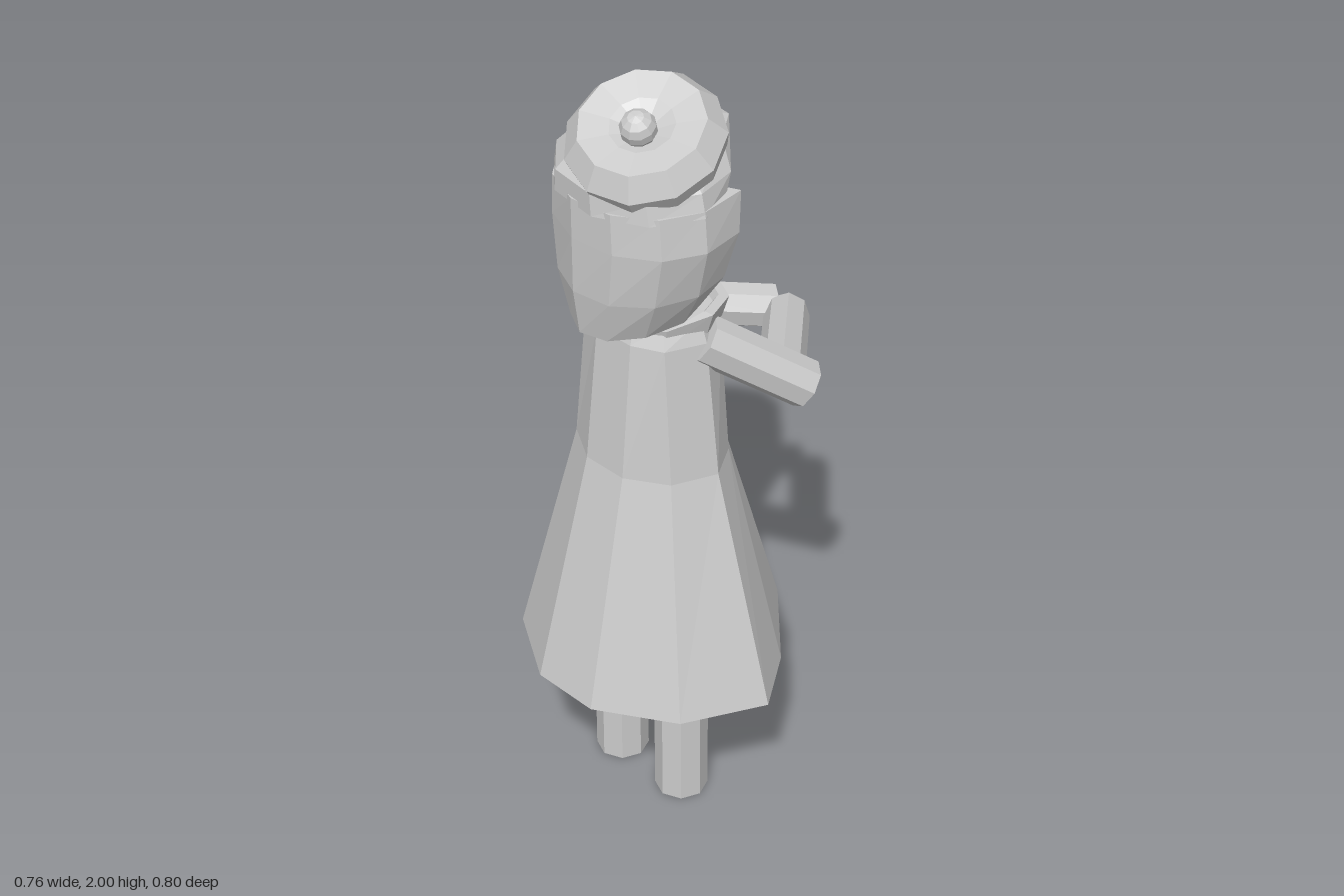
import * as THREE from 'three';

const { sin, cos, PI } = Math;

// Skins rings of [x, y, z] points from bottom to top and closes both ends with strips
function loft(rings) {
  const n = rings[0].length, last = (rings.length - 1) * n, index = [];
  const quad = (a, b, c, d) => index.push(a, b, c, a, c, d);
  for (let r = 0; r < rings.length - 1; r++)
    for (let i = 0; i < n; i++) {
      const j = (i + 1) % n;
      quad(r * n + i, r * n + j, (r + 1) * n + j, (r + 1) * n + i);
    }
  for (let j = 0; j < n / 2 - 1; j++) {
    quad(n - 1 - j, n - 2 - j, j + 1, j);
    quad(last + j, last + j + 1, last + n - 2 - j, last + n - 1 - j);
  }
  const geo = new THREE.BufferGeometry();
  geo.setAttribute('position', new THREE.Float32BufferAttribute(rings.flat(2), 3));
  geo.setIndex(index);
  geo.computeVertexNormals();
  return geo;
}

// Mirrors half a ring of [x, z] points, given from +z round to -z, at height y
function mirrorRing(y, half) {
  const right = half.map(([x, z]) => [x, y, z]);
  const left = half.map(([x, z]) => [-x, y, z]).reverse();
  return [...right, ...left];
}

export function createModel() {
  const model = new THREE.Group();
  const mat = new THREE.MeshStandardMaterial({ color: 0xcccccc, flatShading: true });
  const add = (name, geo, parent = model) => {
    const mesh = new THREE.Mesh(geo, mat);
    mesh.name = name;
    parent.add(mesh);
    return mesh;
  };
  const up = new THREE.Vector3(0, 1, 0);

  // Straight limb between two points
  const limb = (name, from, to, radius) => {
    const a = new THREE.Vector3(...from), b = new THREE.Vector3(...to);
    const dir = b.clone().sub(a);
    const mesh = add(name, new THREE.CylinderGeometry(radius, radius, dir.length(), 8));
    mesh.position.copy(a).add(b).multiplyScalar(0.5);
    mesh.quaternion.setFromUnitVectors(up, dir.normalize());
  };

  // Dress with a flared skirt
  add('dress', loft([
    mirrorRing(0.43, [[0.09, 0.395], [0.28, 0.28], [0.38, 0.08], [0.28, -0.07], [0.09, -0.257]]),
    mirrorRing(1.03, [[0.06, 0.25], [0.16, 0.19], [0.205, 0.08], [0.15, -0.01], [0.05, -0.085]]),
    mirrorRing(1.38, [[0.055, 0.215], [0.13, 0.18], [0.17, 0.085], [0.13, 0], [0.05, -0.04]]),
    mirrorRing(1.435, [[0.05, 0.195], [0.11, 0.165], [0.15, 0.085], [0.12, 0], [0.05, -0.035]]),
  ]));

  // Collar, lower at the nape and open in the middle
  const collarRing = (s, y0) => mirrorRing(0, [[0.05, 0.2], [0.12, 0.165], [0.17, 0.075], [0.14, -0.005], [0.06, -0.045]])
    .map(([x, , z]) => [x * s, y0 - Math.max(0, z - 0.08) * 0.3, 0.08 + (z - 0.08) * s]);
  add('collar', loft([collarRing(0.95, 1.40), collarRing(1.05, 1.455), collarRing(0.9, 1.455), collarRing(0.75, 1.42)]));

  // Legs and arms
  limb('rightLeg', [-0.125, 0, 0.088], [-0.125, 0.5, 0.088], 0.067);
  limb('leftLeg', [0.09, 0, 0.088], [0.09, 0.5, 0.088], 0.067);
  limb('rightUpperArm', [-0.15, 1.375, 0.08], [-0.285, 1.215, -0.12], 0.06);
  limb('leftUpperArm', [0.14, 1.375, 0.07], [0.275, 1.215, -0.135], 0.06);
  limb('rightForearm', [-0.235, 1.225, -0.105], [-0.055, 1.172, -0.37], 0.056);
  limb('leftForearm', [0.22, 1.225, -0.11], [-0.005, 1.172, -0.368], 0.056);
  limb('neck', [0, 1.38, 0.085], [0, 1.56, 0.085], 0.065);

  // Head, turned a little to one side
  const head = new THREE.Group();
  head.name = 'head';
  head.position.set(0, 0, 0.11);
  head.rotation.y = -0.15;
  model.add(head);
  const face = add('face', new THREE.SphereGeometry(0.16, 10, 8), head);
  face.position.set(0, 1.645, -0.035);
  face.scale.set(0.95, 1, 1);

  // Hair round the back and sides, a shell open at the face
  const shellRing = ([y, rx, back, front, lift]) => {
    const side = (t, s) => {
      const c = cos(t);
      return [rx * s * sin(t), y + lift * (1 - c), (c > 0 ? back : front * 2) * c * s];
    };
    const angles = Array.from({ length: 9 }, (_, i) => (i / 8 - 0.5) * PI * 4 / 3);
    return [...angles.map(t => side(t, 1)), ...angles.reverse().map(t => side(t, 0.84))];
  };
  add('hairSides', loft([
    [1.415, 0.145, 0.185, 0.06, 0.03],
    [1.53, 0.2, 0.2, 0.09, 0.012],
    [1.67, 0.232, 0.2, 0.11, 0],
    [1.77, 0.222, 0.2, 0.12, 0],
  ].map(shellRing)), head);

  // Crown and fringe, with a rim turned in above the face
  const crownRing = ([y, rx, back, front]) => Array.from({ length: 10 }, (_, i) => {
    const t = (i + 0.5) * PI / 5, c = cos(t);
    return [rx * sin(t), y, c * (c > 0 ? back : front)];
  });
  add('hairCrown', loft([
    [1.79, 0.18, 0.16, 0.12],
    [1.755, 0.225, 0.205, 0.145],
    [1.81, 0.21, 0.205, 0.185],
    [1.87, 0.15, 0.15, 0.205],
    [1.915, 0.08, 0.06, 0.09],
  ].map(crownRing)), head);

  // Tilted beret with a dimpled top and a pompom
  const beret = new THREE.Group();
  beret.name = 'beret';
  beret.position.set(0.04, 1.875, 0.145);
  beret.quaternion.setFromUnitVectors(up, new THREE.Vector3(0.2, 1, 0.42).normalize());
  model.add(beret);
  const profile = [[0, -0.04], [0.13, -0.05], [0.175, -0.025], [0.183, 0.015], [0.145, 0.068], [0.075, 0.058], [0, 0.03]];
  add('cap', new THREE.LatheGeometry(profile.map(p => new THREE.Vector2(...p)), 11), beret);
  add('pompom', new THREE.SphereGeometry(0.043, 10, 7), beret).position.set(0.005, 0.067, 0.015);

  return model;
}
